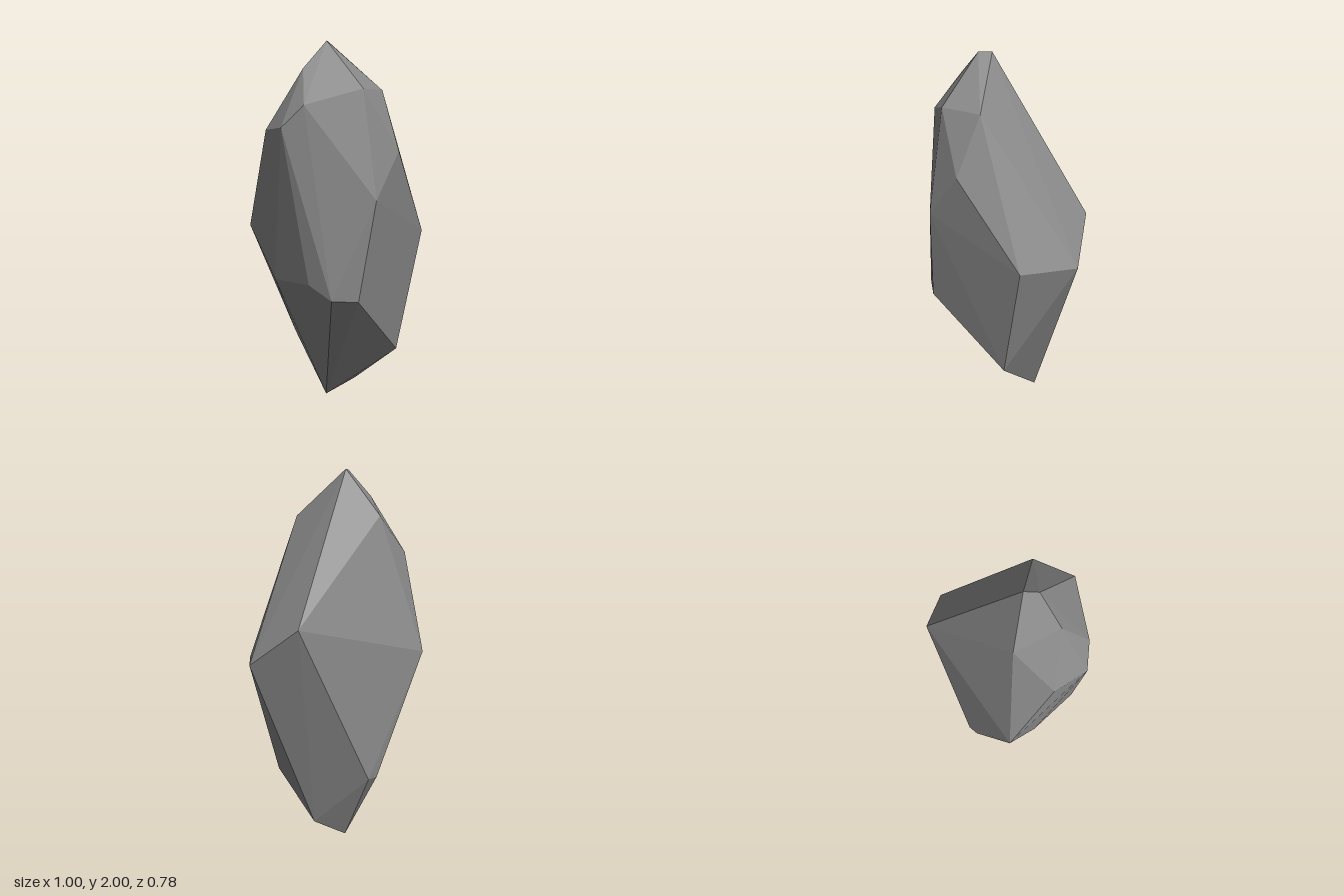
import * as THREE from 'three';
import { ConvexGeometry } from 'three/addons/geometries/ConvexGeometry.js';

// Corner points of the faceted boulder, from the tip down to the foot
const tip = [[-0.18, 2, 0.03], [-0.12, 2, -0.01], [-0.33, 1.86, 0]];
const shoulder = [
  [-0.21, 1.76, 0.29], [0.005, 1.75, 0.25], [-0.2, 1.75, -0.19],
  [-0.435, 1.68, 0.095], [-0.5, 1.57, 0], [-0.43, 1.55, -0.17],
];
const waist = [
  [-0.04, 1.445, 0.39], [-0.23, 1.21, 0.39], [0.38, 1.18, -0.17],
  [-0.335, 1.02, -0.39], [0.3, 0.98, 0.315], [0.495, 0.985, 0.08],
];
const lower = [
  [-0.415, 0.77, 0.1], [-0.36, 0.75, -0.185], [-0.39, 0.7, 0.23],
  [-0.29, 0.69, 0.325],
];
const foot = [
  [-0.045, 0.36, -0.325], [0.015, 0.355, -0.32], [0.15, 0.32, 0.255],
  [0.15, 0.08, -0.04], [0.01, 0, -0.14],
];

export function createModel() {
  const group = new THREE.Group();
  group.name = 'boulder';

  const stone = new THREE.MeshStandardMaterial({ color: 0x888888 });
  stone.name = 'grey stone';

  // Flat facets spanned around the corners
  const corners = [...tip, ...shoulder, ...waist, ...lower, ...foot]
    .map(([x, y, z]) => new THREE.Vector3(x, y, z));
  const rock = new THREE.Mesh(new ConvexGeometry(corners), stone);
  rock.name = 'rock';
  group.add(rock);

  return group;
}
